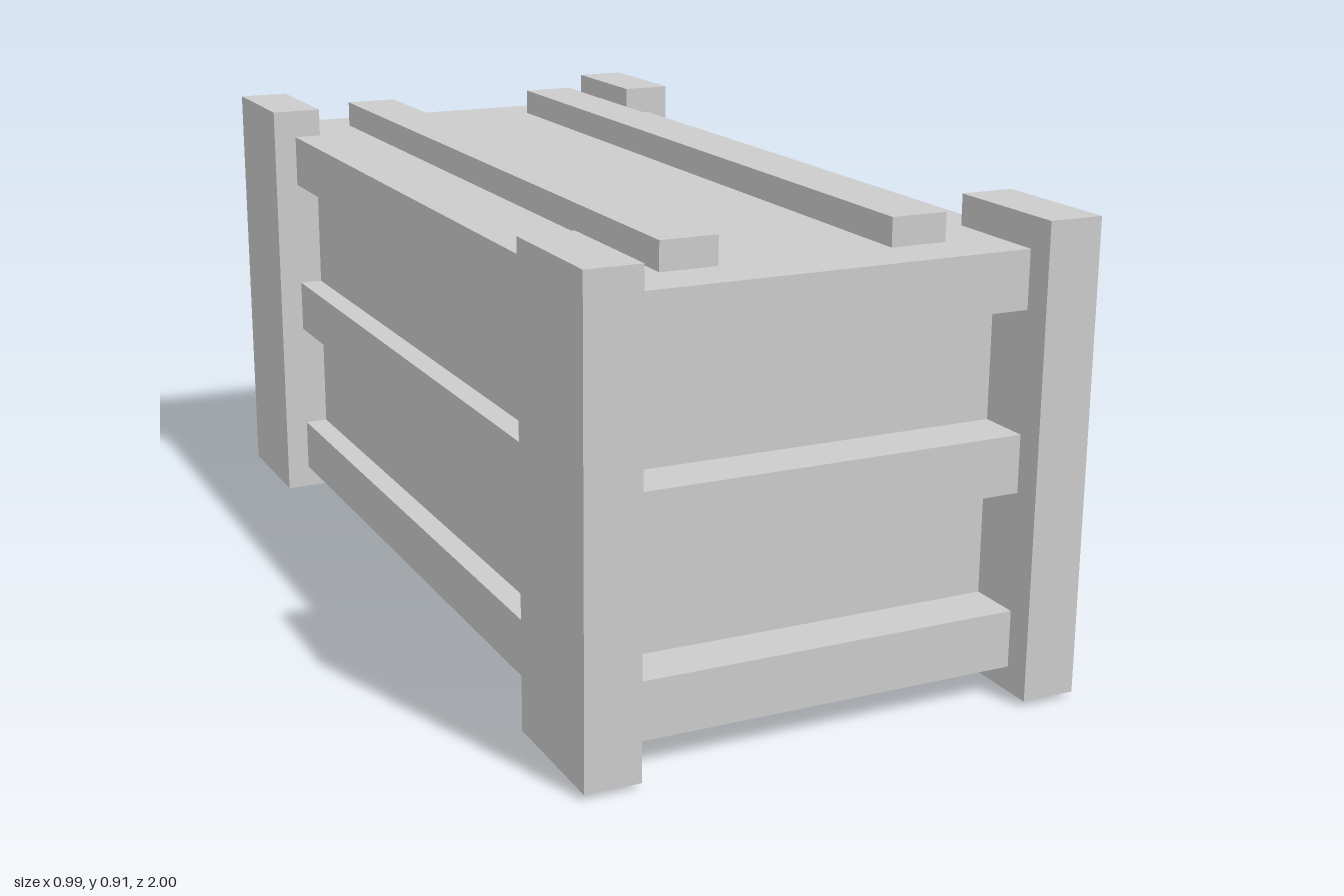
import * as THREE from 'three';

export function createModel() {
  const group = new THREE.Group();
  const material = new THREE.MeshStandardMaterial({ color: 0xcccccc, flatShading: true });

  // Box given by its minimum and maximum corners
  function addBox(name, [x0, y0, z0], [x1, y1, z1]) {
    const mesh = new THREE.Mesh(new THREE.BoxGeometry(x1 - x0, y1 - y0, z1 - z0), material);
    mesh.name = name;
    mesh.position.set((x0 + x1) / 2, (y0 + y1) / 2, (z0 + z1) / 2);
    group.add(mesh);
  }

  // Recessed core of the crate, seen between the bands
  addBox('innerPanels', [-0.4, 0.1, -0.84], [0.4, 0.81, 0.84]);

  // Three plank bands; the lowest and highest close the bottom and top
  const bands = { bottomBand: 0.058, middleBand: 0.399, topBand: 0.742 };
  for (const [name, y] of Object.entries(bands)) {
    addBox(name, [-0.448, y, -0.945], [0.448, y + 0.111, 0.945]);
  }

  for (const sx of [-1, 1]) {
    const side = sx > 0 ? 'Left' : 'Right';

    // Corner posts
    for (const sz of [-1, 1]) {
      const x = sx * 0.4435, z = sz * 0.864;
      addBox((sz > 0 ? 'front' : 'back') + side + 'Post',
        [x - 0.0535, 0.01, z - 0.136], [x + 0.0535, 0.913, z + 0.136]);
    }

    // Long battens on the lid and skids underneath
    const x = sx * 0.228;
    addBox('lidBatten' + side, [x - 0.056, 0.84, -0.836], [x + 0.056, 0.908, 0.836]);
    addBox('skid' + side, [x - 0.056, 0, -0.836], [x + 0.056, 0.07, 0.836]);
  }

  return group;
}
